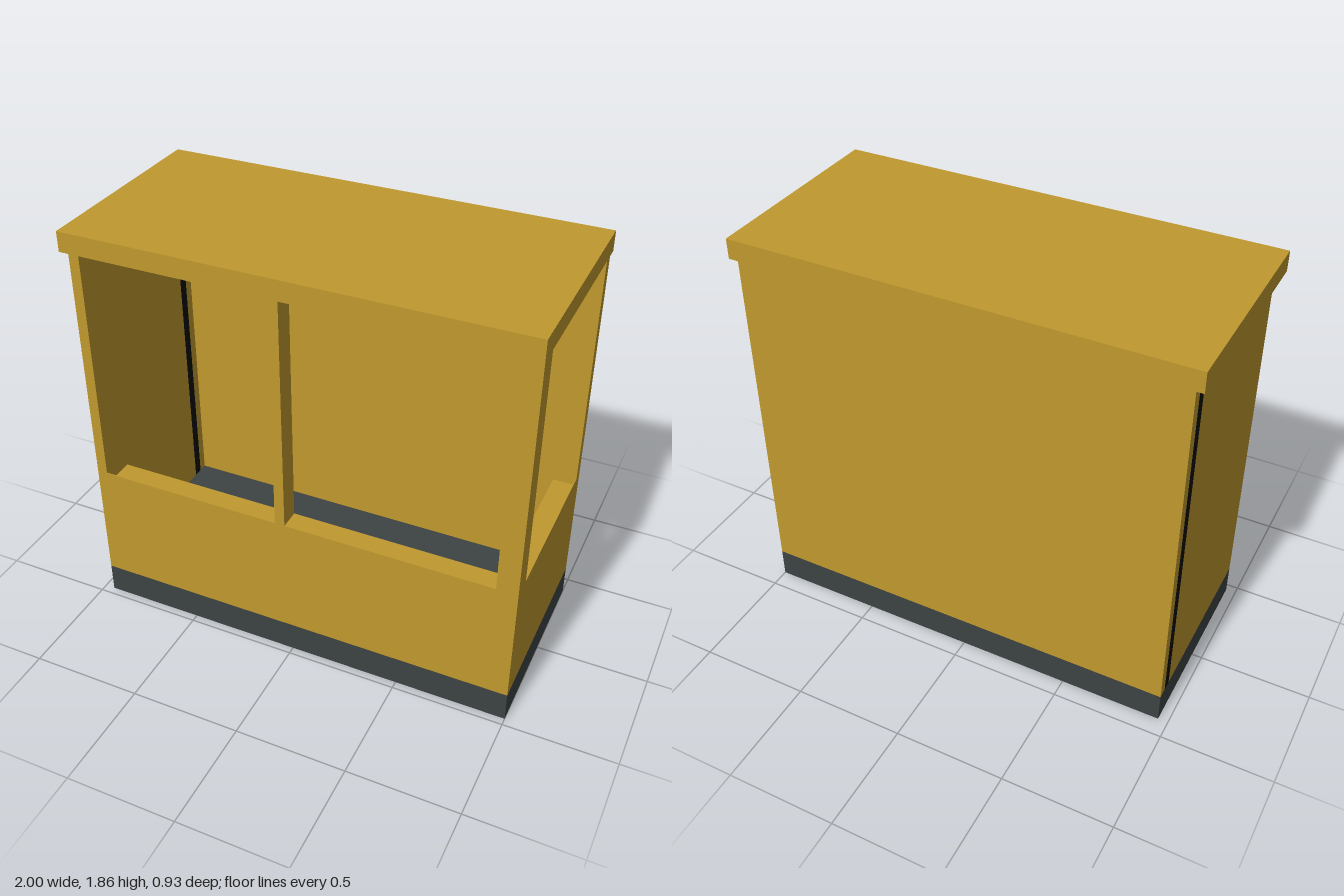
import * as THREE from 'three';

export function createModel() {
  const model = new THREE.Group();
  model.name = 'booth';

  const material = (name, color) => {
    const m = new THREE.MeshStandardMaterial({ color });
    m.name = name;
    return m;
  };
  const yellow = material('ochre yellow', 0xc1992e);
  const grey = material('dark grey', 0x3d4444);
  const black = material('black', 0x0c0c0c);

  // Box given by its lower and upper corners
  const box = (name, mat, [x0, y0, z0], [x1, y1, z1]) => {
    const mesh = new THREE.Mesh(new THREE.BoxGeometry(x1 - x0, y1 - y0, z1 - z0), mat);
    mesh.position.set((x0 + x1) / 2, (y0 + y1) / 2, (z0 + z1) / 2);
    mesh.name = name;
    model.add(mesh);
  };

  const L = -0.955, R = 1, B = -0.415, F = 0.465; // wall outer faces
  const floor = 0.14, sill = 0.7, head = 1.77, top = 1.86;
  const thick = 0.093, post = 0.047, skin = 0.004;

  // Plinth and overhanging roof
  box('base', grey, [L, 0, B], [R, floor, F]);
  box('roof', yellow, [-1, head, -F], [R, top, F]);

  // Thick low walls below the windows, on the front and the model's left
  box('frontLowWall', yellow, [L + thick, floor, F - thick], [R, sill, F]);
  box('sideLowWall', yellow, [R - thick, floor, B + thick], [R, sill, F - thick]);

  // Thick corner post and front mullion
  box('cornerPost', yellow, [R - thick, sill, F - thick], [R, head, F]);
  box('mullion', yellow, [-0.07, sill, F - thick], [-0.025, head, F]);

  // Thin skins that finish the two window walls
  box('frontSkin', yellow, [L, floor, F - skin], [L + thick, sill, F]);
  box('frontEndPost', yellow, [L, sill, F - skin], [L + post, head, F]);
  box('sideSkin', yellow, [R - skin, floor, B], [R, sill, B + thick]);
  box('sideEndPost', yellow, [R - skin, sill, B], [R, head, B + post]);

  // Thin closed walls, with a black seam strip near the back corner
  box('backWall', yellow, [L, floor, B], [R - skin, head, B + skin]);
  box('closedSideRear', yellow, [L, floor, B + skin], [L + skin, head, B + post]);
  box('seamStrip', black, [L, floor, B + post], [L + skin, head, B + thick]);
  box('closedSideWall', yellow, [L, floor, B + thick], [L + skin, head, F - skin]);

  return model;
}
